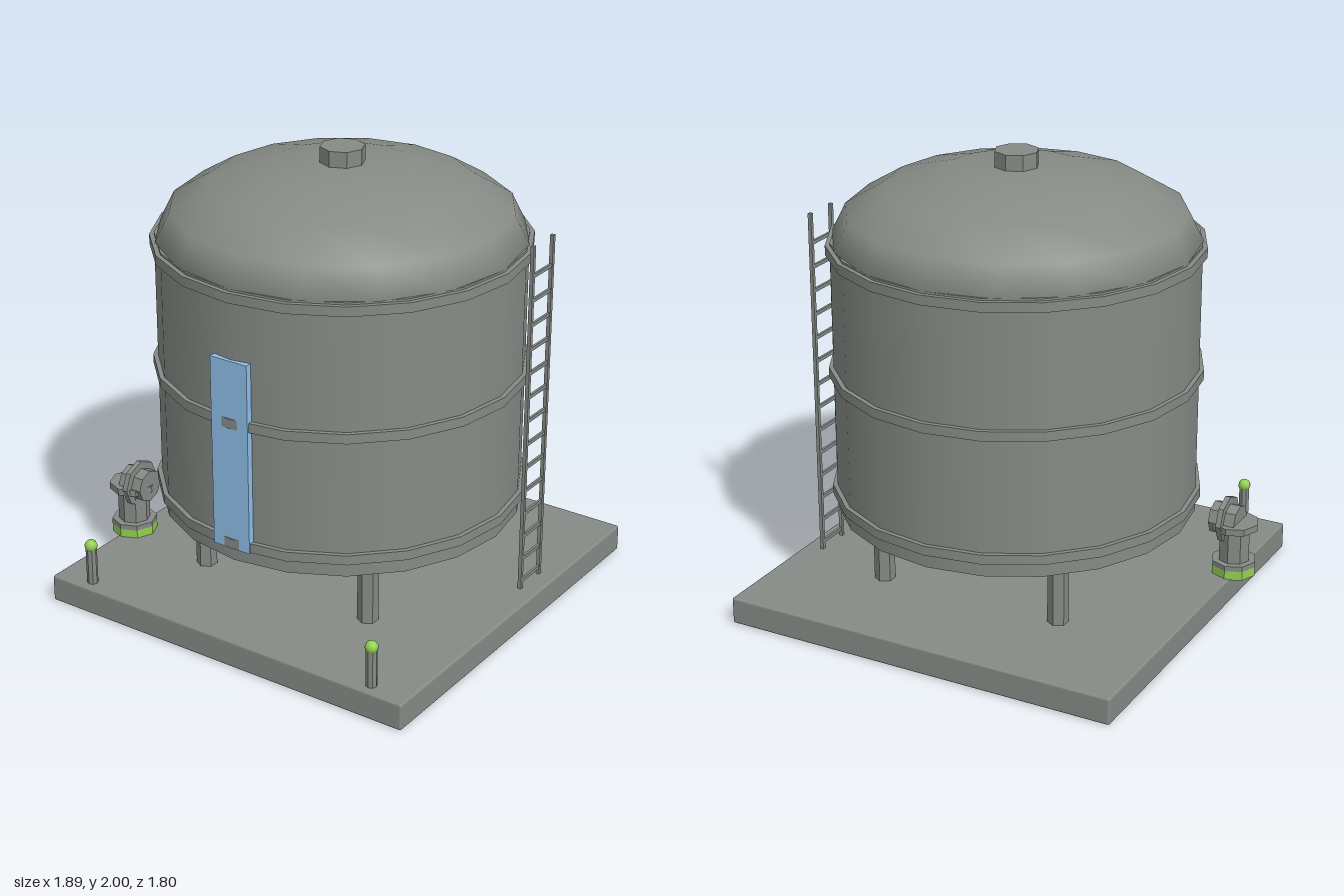
import * as THREE from 'three';
import { RoundedBoxGeometry } from 'three/addons/geometries/RoundedBoxGeometry.js';

export function createModel() {
  const model = new THREE.Group();
  model.name = 'storageTank';
  const mat = (name, color, flatShading = false) => {
    const m = new THREE.MeshStandardMaterial({ color, flatShading });
    m.name = name;
    return m;
  };
  const grey = mat('steelGrey', 0x868b86);
  const blue = mat('panelBlue', 0x8fc1ea);
  const green = mat('signalGreen', 0x92d050);

  const add = (name, geometry, material, x, y, z, parent = model) => {
    const mesh = new THREE.Mesh(geometry, material);
    mesh.name = name;
    mesh.position.set(x, y, z);
    parent.add(mesh);
    return mesh;
  };
  // Upright cylinder given by its bottom and top heights; hard facets when flat
  const column = (name, r, y0, y1, sides, material, x, z, flat = true, parent = model) => {
    let g = new THREE.CylinderGeometry(r, r, y1 - y0, sides);
    if (flat) {
      g = g.toNonIndexed();
      g.computeVertexNormals();
    }
    return add(name, g, material, x, (y0 + y1) / 2, z, parent);
  };
  const cx = 0.04; // tank axis

  // Base slab
  add('baseSlab', new RoundedBoxGeometry(1.8, 0.12, 1.8, 2, 0.01), grey, cx, 0.06, 0);

  // Tank shell, hoops, dome and vent cap
  column('tankShell', 0.78, 0.43, 1.63, 20, grey, cx, 0, false);
  for (const y of [0.514, 1.057, 1.6]) column('hoop', 0.8, y - 0.021, y + 0.021, 20, grey, cx, 0, false);
  const dome = new THREE.SphereGeometry(0.78, 16, 4, 0, Math.PI * 2, 0, Math.PI / 2);
  dome.scale(1, 0.31 / 0.78, 1);
  add('dome', dome, grey, cx, 1.63, 0);
  column('ventCap', 0.095, 1.9, 2, 8, grey, cx, 0);

  // Hexagonal legs
  for (const sx of [-1, 1])
    for (const sz of [-1, 1])
      column('leg', 0.045, 0.11, 0.44, 6, grey, cx + sx * 0.424, sz * 0.424);

  // Level panel on the front
  add('levelPanel', new THREE.BoxGeometry(0.18, 0.84, 0.03), blue, cx, 0.91, 0.779);

  // Marker posts with green lamps
  for (const s of [-1, 1]) {
    column('markerPost', 0.024, 0.11, 0.3, 8, grey, cx + s * 0.722, 0.842);
    add('markerLamp', new THREE.SphereGeometry(0.028, 10, 8), green, cx + s * 0.722, 0.297, 0.842);
  }

  // Ladder on the left side
  const ladder = new THREE.Group();
  ladder.name = 'ladder';
  model.add(ladder);
  for (const z of [-0.16, -0.316])
    add('ladderRail', new THREE.BoxGeometry(0.016, 1.58, 0.016), grey, 0.857, 0.9, z, ladder);
  for (let i = 0; i < 14; i++)
    add('ladderRung', new THREE.BoxGeometry(0.011, 0.016, 0.156), grey, 0.857, 0.154 + i * 0.108, -0.238, ladder);

  // Valve: green foot, flanged riser and horizontal outlet
  const valve = new THREE.Group();
  valve.name = 'valve';
  valve.position.set(-0.842, 0, 0.36);
  model.add(valve);
  column('valveFoot', 0.1, 0.115, 0.157, 8, green, 0, 0, true, valve);
  column('valveFootFlange', 0.1, 0.157, 0.18, 8, grey, 0, 0, true, valve);
  column('valveRiser', 0.07, 0.17, 0.34, 8, grey, 0, 0, true, valve);
  column('valveTopFlange', 0.105, 0.33, 0.36, 8, grey, 0, 0, true, valve);
  const outlet = new THREE.Group();
  outlet.name = 'valveOutlet';
  outlet.position.set(0.037, 0.36, 0);
  outlet.rotation.z = -Math.PI / 2;
  valve.add(outlet);
  column('outletPipe', 0.073, -0.06, 0.06, 8, grey, 0, 0, true, outlet);
  column('outletFlange', 0.105, -0.012, 0.012, 8, grey, 0, 0, true, outlet);

  return model;
}
